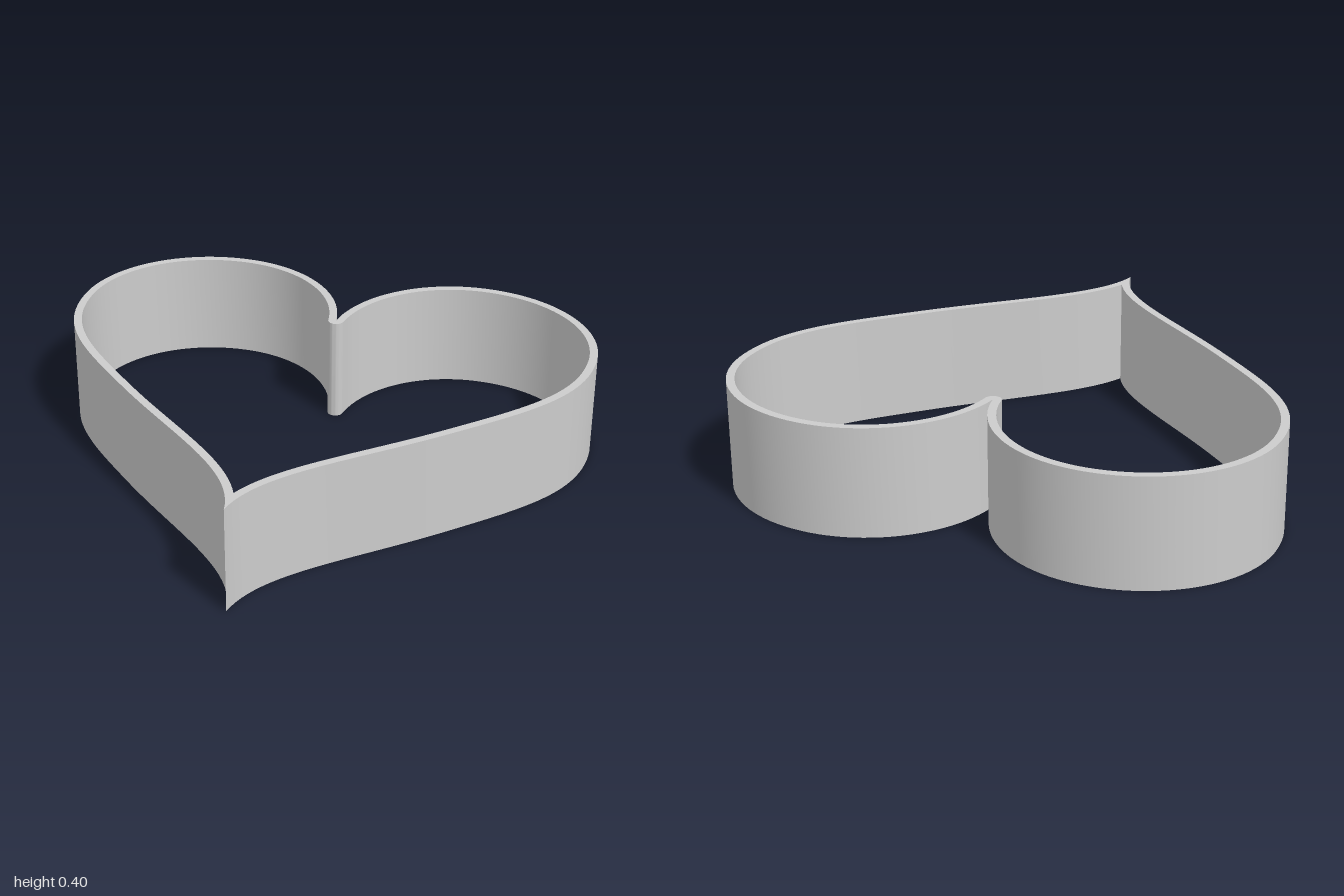
import * as THREE from 'three';
import { toCreasedNormals } from 'three/addons/utils/BufferGeometryUtils.js';

const HEIGHT = 0.4;
const WALL = 0.03;
const STEPS = 24;
const v = (x, y) => new THREE.Vector2(x, y);
const bezier = (a, b, c, d) => new THREE.CubicBezierCurve(v(...a), v(...b), v(...c), v(...d));

// Right half of the outer outline, from the notch to the tip (y points to the back)
const halfOutline = [
  bezier([0, 0.475], [0.03, 0.71], [0.235, 0.9], [0.49, 0.9]),
  bezier([0.49, 0.9], [0.77, 0.9], [1, 0.69], [1, 0.42]),
  bezier([1, 0.42], [1, 0.15], [0.84, 0], [0.61, -0.22]),
  bezier([0.61, -0.22], [0.32, -0.5], [0.04, -0.66], [0, -0.9]),
];

// Close a half outline by mirroring it; both ends lie on the centre line
function mirrored(half) {
  const other = half.slice(1, -1).reverse().map((p) => v(-p.x, p.y));
  return [...half, ...other];
}

function createOutlines() {
  const outer = [];
  const inner = [];

  // Rounded inner end of the notch
  for (let i = 0; i < 8; i++) {
    const angle = THREE.MathUtils.lerp(-Math.PI / 2, -0.13, i / 8);
    inner.push(v(i === 0 ? 0 : WALL * Math.cos(angle), 0.475 + WALL * Math.sin(angle)));
  }

  // Outer points and their inward offsets
  halfOutline.forEach((curve, c) => {
    for (let i = c === 0 ? 0 : 1; i <= STEPS; i++) {
      const p = curve.getPoint(i / STEPS);
      const t = curve.getTangent(i / STEPS);
      outer.push(p);
      inner.push(v(p.x + t.y * WALL, p.y - t.x * WALL));
    }
  });

  // Trim the offset where it meets the centre line at the tip
  const cut = inner.findIndex((p, i) => i > 0 && p.x <= 0);
  const a = inner[cut - 1];
  const b = inner[cut];
  const tip = v(0, a.y + (b.y - a.y) * (a.x / (a.x - b.x)));
  return [mirrored(outer), mirrored([...inner.slice(0, cut), tip])];
}

export function createModel() {
  const metal = new THREE.MeshStandardMaterial({ color: 0xcccccc });
  metal.name = 'greyMetal';

  // Thin heart-shaped wall; the hole winds against the outline so its faces look inward
  const [outer, inner] = createOutlines();
  const shape = new THREE.Shape(outer);
  shape.holes.push(new THREE.Path(inner.reverse()));
  const geometry = new THREE.ExtrudeGeometry(shape, { depth: HEIGHT, bevelEnabled: false });
  geometry.rotateX(-Math.PI / 2);

  const wall = new THREE.Mesh(toCreasedNormals(geometry, 0.6), metal);
  wall.name = 'heartWall';

  const group = new THREE.Group();
  group.name = 'heartCutter';
  group.add(wall);
  return group;
}
